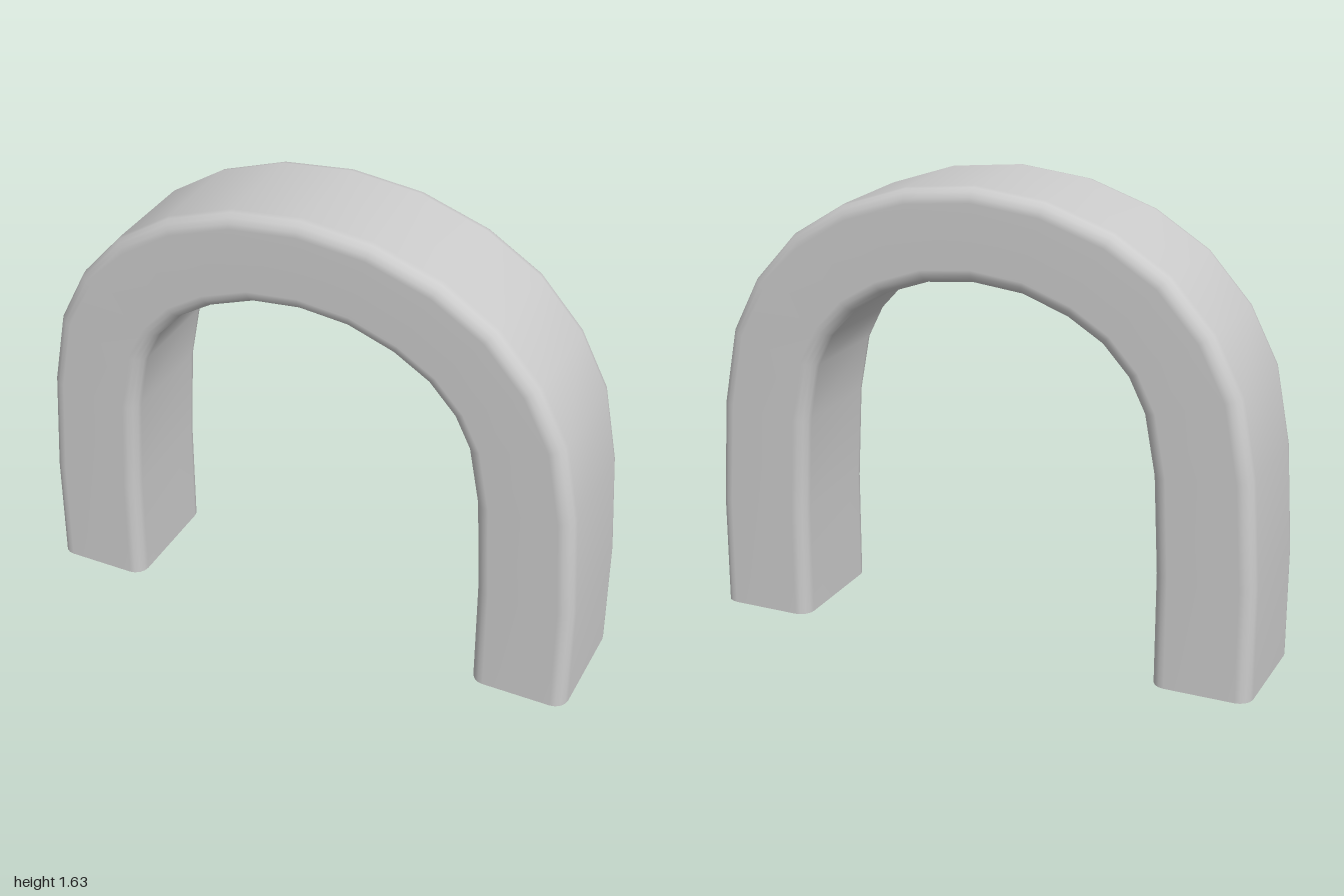
import * as THREE from 'three';

// Half of the arch, foot to crown: outer and inner edge at each station
const OUTER = [[1, 0], [1, 0.4], [0.976, 0.77], [0.925, 1.04], [0.826, 1.235], [0.675, 1.405], [0.485, 1.525], [0.25, 1.605], [0, 1.632]];
const INNER = [[0.655, 0], [0.655, 0.4], [0.638, 0.74], [0.6, 0.945], [0.543, 1.06], [0.452, 1.16], [0.33, 1.235], [0.172, 1.292], [0, 1.31]];
const HALF_DEPTH = 0.228, RADIUS = 0.05, CORNER_STEPS = 4;

// Mirror a half profile across x = 0, sharing the crown point
const mirrored = (half) => [...half, ...half.slice(0, -1).reverse().map(([x, y]) => [-x, y])];

// Rounded rectangle, given as [side -1..1, corner offset along thickness, z]
function roundedSection() {
  const section = [];
  for (const [st, sz, start] of [[1, 1, 0], [-1, 1, 1], [-1, -1, 2], [1, -1, 3]]) {
    for (let k = 0; k <= CORNER_STEPS; k++) {
      const a = (start + k / CORNER_STEPS) * Math.PI / 2;
      section.push([st, RADIUS * (Math.cos(a) - st), sz * (HALF_DEPTH - RADIUS) + RADIUS * Math.sin(a)]);
    }
  }
  return section;
}

// Sweep the section along the arch, leaving both feet open
function archGeometry() {
  const outer = mirrored(OUTER), inner = mirrored(INNER), section = roundedSection();
  const n = section.length, positions = [], indices = [];
  outer.forEach((o, i) => {
    const out = new THREE.Vector2(...o), inn = new THREE.Vector2(...inner[i]);
    const across = out.clone().sub(inn).normalize();
    for (const [side, offset, z] of section) {
      const p = (side > 0 ? out : inn).clone().addScaledVector(across, offset);
      positions.push(p.x, p.y, z);
    }
    if (i === 0) return;
    for (let j = 0; j < n; j++) {
      const a = (i - 1) * n + j, b = (i - 1) * n + (j + 1) % n;
      indices.push(a, a + n, b, b, a + n, b + n);
    }
  });
  const geometry = new THREE.BufferGeometry();
  geometry.setAttribute('position', new THREE.Float32BufferAttribute(positions, 3));
  geometry.setIndex(indices);
  geometry.computeVertexNormals();
  return geometry;
}

export function createModel() {
  const group = new THREE.Group();
  group.name = 'archModel';
  const material = new THREE.MeshStandardMaterial({ color: 0xcccccc, side: THREE.DoubleSide });
  const arch = new THREE.Mesh(archGeometry(), material);
  arch.name = 'arch';
  group.add(arch);
  return group;
}
